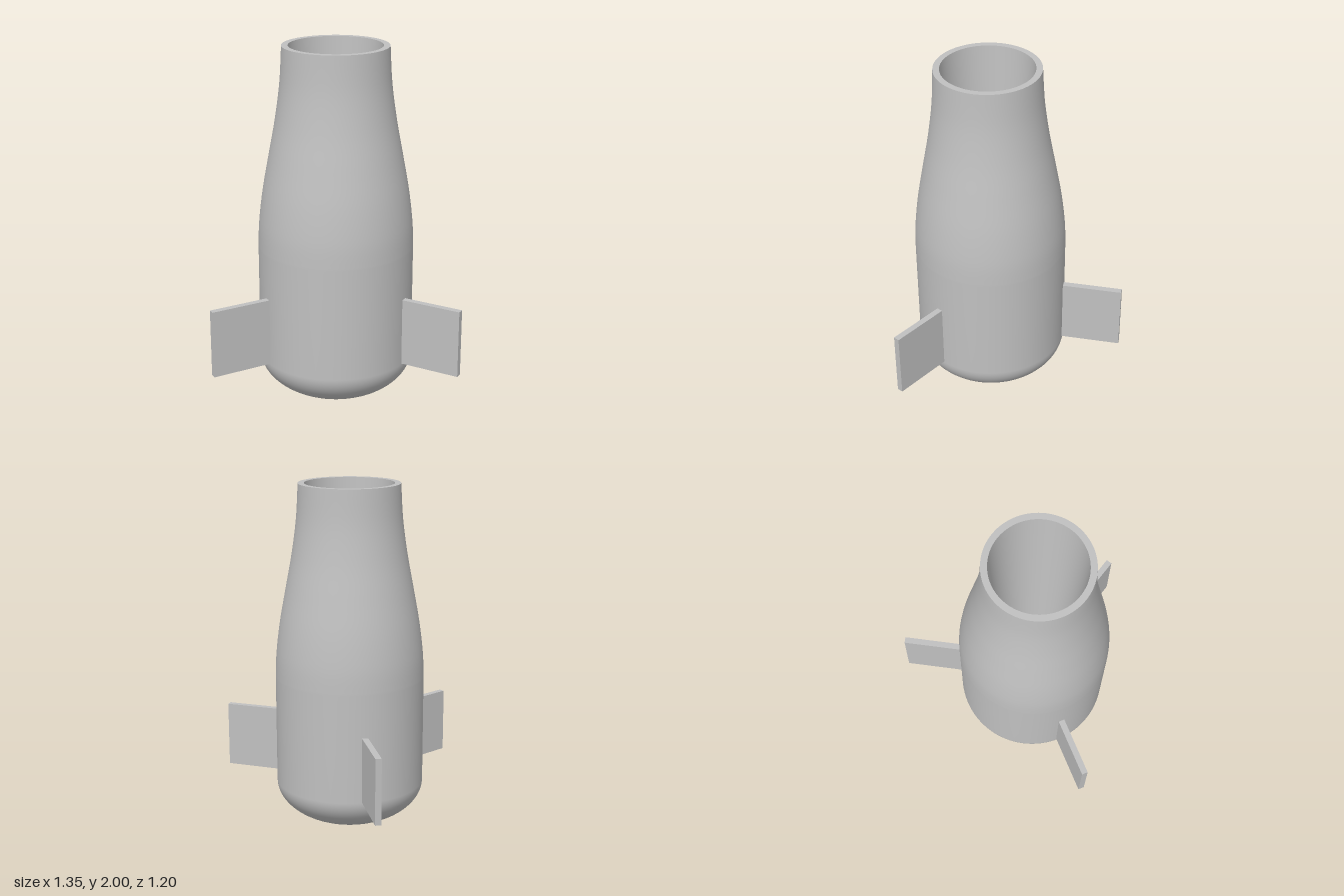
import * as THREE from 'three';

export function createModel() {
  const model = new THREE.Group();
  const grey = new THREE.MeshStandardMaterial({ color: 0xc0c0c0 });
  grey.name = 'plain grey';
  const axisZ = 0.17, radius = 0.43, domeHeight = 0.25;
  const rimInner = 0.255, floorRadius = 0.16, floorY = 0.25;

  const add = (name, geometry, parent = model) => {
    const mesh = new THREE.Mesh(geometry, grey);
    mesh.name = name;
    parent.add(mesh);
    return mesh;
  };
  const v2 = (x, y) => new THREE.Vector2(x, y);

  const body = new THREE.Group();
  body.name = 'body';
  body.position.z = axisZ;
  model.add(body);

  // Outer shell: rounded base, straight side, then a soft shoulder into the neck
  const outer = [];
  for (let i = 0; i <= 24; i++) {
    const a = (i / 24) * Math.PI / 2;
    outer.push(v2(radius * Math.sin(a), domeHeight * (1 - Math.cos(a))));
  }
  const shoulder = new THREE.SplineCurve([
    v2(radius, 0.88), v2(0.424, 1.02), v2(0.402, 1.2), v2(0.366, 1.4),
    v2(0.329, 1.6), v2(0.302, 1.8), v2(0.29, 2),
  ]);
  outer.push(v2(radius, 0.6), ...shoulder.getPoints(36));
  add('outerShell', new THREE.LatheGeometry(outer, 96), body);

  // Flat rim and tapering bore with a flat floor
  add('rim', new THREE.LatheGeometry([v2(0.29, 2), v2(rimInner, 2)], 96), body);
  add('bore', new THREE.LatheGeometry([v2(rimInner, 2), v2(floorRadius, floorY)], 96), body);
  const floor = add('boreFloor', new THREE.CircleGeometry(floorRadius, 96), body);
  floor.rotation.x = -Math.PI / 2;
  floor.position.y = floorY;

  // Three radial fins, one straight back
  const finStart = 0.4, finEnd = 0.77;
  for (let i = 0; i < 3; i++) {
    const geometry = new THREE.BoxGeometry(0.035, 0.38, finEnd - finStart);
    geometry.translate(0, 0.445, -(finStart + finEnd) / 2);
    const fin = add('fin' + (i + 1), geometry, body);
    fin.rotation.y = (i * Math.PI * 2) / 3;
  }
  return model;
}
